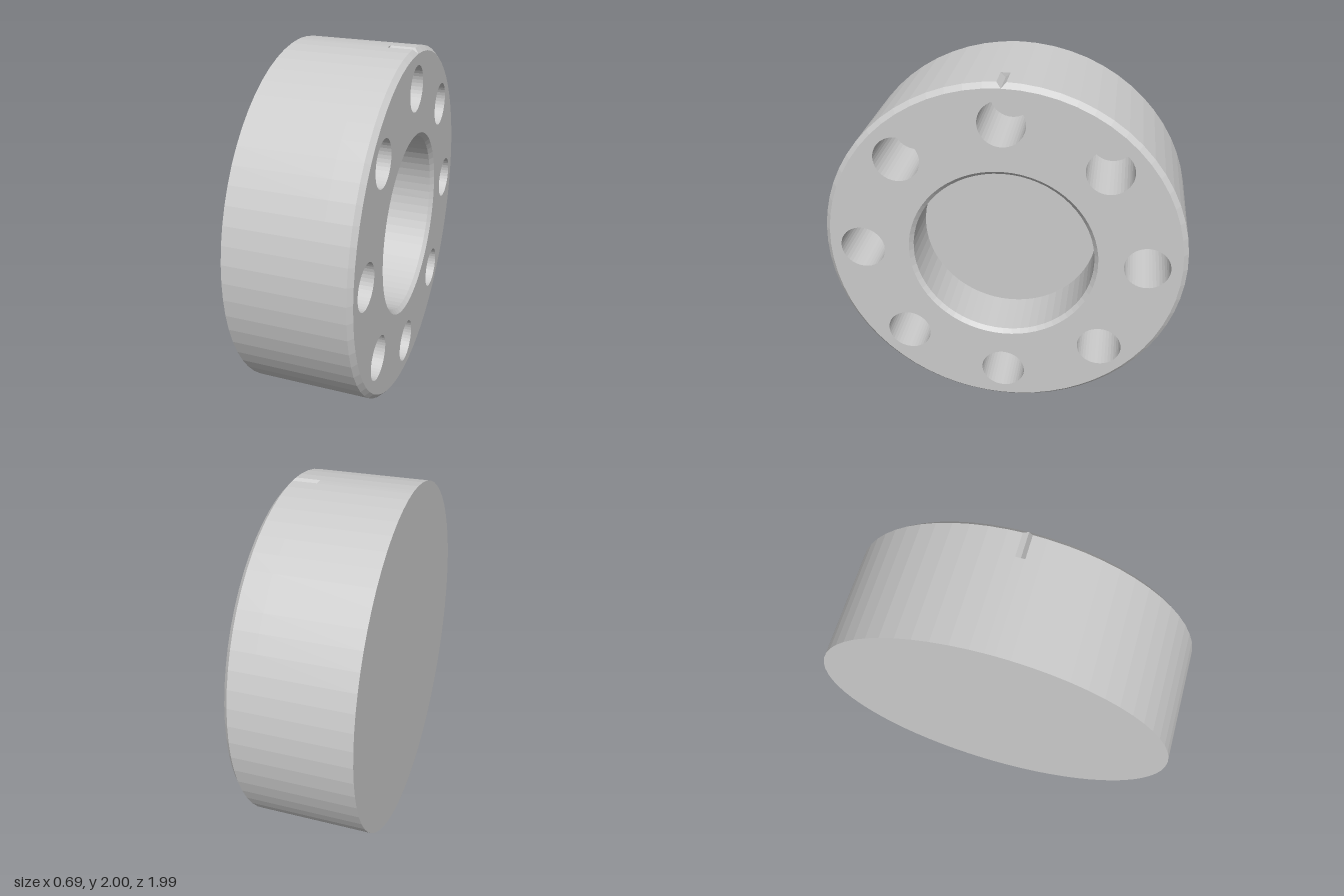
import * as THREE from 'three';

const R = 0.996, RIM = 0.97;            // outer radius, front face radius
const BACK = -0.335, FRONT = 0.335;     // positions along the x axis
const SHOULDER = 0.31, NOTCH_START = 0.175;
const BORE_FLOOR = 0.025, HOLE_FLOOR = -0.065;

const material = new THREE.MeshStandardMaterial({ color: 0xcccccc, flatShading: true });

// Circle in the (z, y) plane
function circle(r, n, cz = 0, cy = 0) {
  return Array.from({ length: n }, (_, i) => {
    const t = (i / n) * Math.PI * 2;
    return [cz + r * Math.sin(t), cy + r * Math.cos(t)];
  });
}

// Rim outline with three points at the top that can form a V notch
function rimOutline(r, halfAngle, bottom = r) {
  const ring = circle(r, 64).slice(1);
  const edge = (a) => [r * Math.sin(a), r * Math.cos(a)];
  return [[0, bottom], edge(halfAngle), ...ring, edge(-halfAngle)];
}

// Closed band from outline a at xa to outline b at xb (faces outward if xa < xb)
function band(a, xa, b, xb) {
  const pos = [];
  for (let i = 0; i < a.length; i++) {
    const j = (i + 1) % a.length;
    const p = (o, k, x) => [x, o[k][1], o[k][0]];
    pos.push(...p(a, i, xa), ...p(a, j, xa), ...p(b, j, xb));
    pos.push(...p(a, i, xa), ...p(b, j, xb), ...p(b, i, xb));
  }
  const g = new THREE.BufferGeometry();
  g.setAttribute('position', new THREE.Float32BufferAttribute(pos, 3));
  g.computeVertexNormals();
  return g;
}

// Flat face at x, facing +x (or -x), with optional holes
function cap(outline, x, holes = [], dir = 1) {
  const points = (o) => o.map(([z, y]) => new THREE.Vector2(-dir * z, y));
  const shape = new THREE.Shape(points(outline));
  shape.holes = holes.map((h) => new THREE.Path(points(h)));
  return new THREE.ShapeGeometry(shape).rotateY((dir * Math.PI) / 2).translate(x, 0, 0);
}

export function createModel() {
  const model = new THREE.Group();
  const disc = new THREE.Group();
  disc.name = 'disc';
  model.add(disc);
  const add = (name, geometry) => {
    const mesh = new THREE.Mesh(geometry, material);
    mesh.name = name;
    disc.add(mesh);
  };

  // Outer wall, notched near the front, with a chamfered front edge
  const plain = rimOutline(R, 0.025);
  const notched = rimOutline(R, 0.025, RIM);
  const rim = rimOutline(RIM, 0);
  add('backFace', cap(plain, BACK, [], -1));
  add('outerWall', band(plain, BACK, plain, NOTCH_START));
  add('notchedWall', band(notched, NOTCH_START, notched, SHOULDER));
  add('frontChamfer', band(notched, SHOULDER, rim, FRONT));
  add('notchEnd', cap([plain[0], plain[1], notched[0], plain[plain.length - 1]], NOTCH_START));

  // Ring of eight blind holes
  const holes = [];
  for (let i = 0; i < 8; i++) {
    const t = (i * Math.PI) / 4;
    const hole = circle(0.125, 40, 0.784 * Math.sin(t), 0.784 * Math.cos(t));
    holes.push(hole);
    add('holeWall', band(hole, FRONT, hole, HOLE_FLOOR));
    add('holeFloor', cap(hole, HOLE_FLOOR));
  }

  // Central bore with chamfered mouth
  const mouth = circle(0.522, 64), bore = circle(0.5, 64);
  add('boreChamfer', band(mouth, FRONT, bore, FRONT - 0.022));
  add('boreWall', band(bore, FRONT - 0.022, bore, BORE_FLOOR));
  add('boreFloor', cap(bore, BORE_FLOOR));

  add('frontFace', cap(circle(RIM, 64), FRONT, [mouth, ...holes]));

  // The whole disc leans slightly
  disc.rotation.z = -0.0126;
  disc.position.y = 1;
  return model;
}
